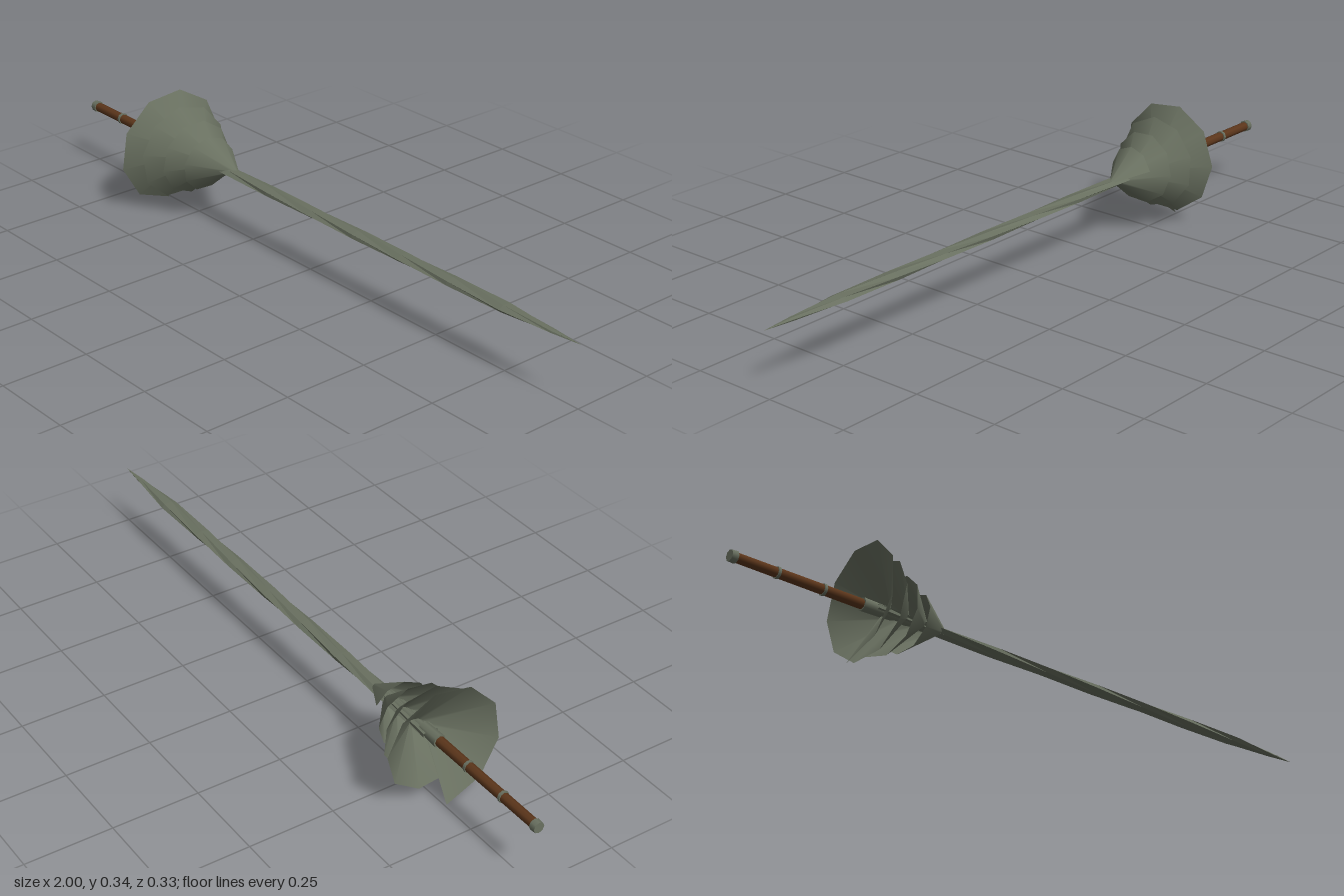
import * as THREE from 'three';

const AXIS_Y = 0.183, AXIS_Z = 0.006;

function surface(positions, indices) {
  const g = new THREE.BufferGeometry();
  g.setAttribute('position', new THREE.Float32BufferAttribute(positions, 3));
  g.setIndex(indices);
  g.computeVertexNormals();
  return g;
}

// Blade: flattened rings whose corners wind slowly around the section
function bladeGeometry() {
  const sides = 6, pos = [], idx = [];
  const stations = [
    [-0.56, 1], [-0.34, 1], [-0.16, 1], [0.02, 1], [0.2, 1], [0.38, 1],
    [0.56, 1], [0.75, 1], [0.91, 0.42], [1.0, 0.02],
  ];
  stations.forEach(([x, s], i) => {
    for (let k = 0; k < sides; k++) {
      const a = (k / sides) * Math.PI * 2 + i * 0.5;
      pos.push(x, 0.0105 * s * Math.cos(a), 0.025 * s * Math.sin(a));
    }
    if (i === 0) return;
    for (let k = 0; k < sides; k++) {
      const a = (i - 1) * sides + k, b = (i - 1) * sides + (k + 1) % sides;
      idx.push(a, b, b + sides, a, b + sides, a + sides);
    }
  });
  return surface(pos, idx).toNonIndexed();
}

// Guard: a conical ribbon wound into overlapping, widening flares
function guardGeometry() {
  const steps = 35, step = THREE.MathUtils.degToRad(38), pos = [], idx = [];
  for (let i = 0; i <= steps; i++) {
    const a = -(steps - i) * step;
    const back = -a / (Math.PI * 2);
    const rim = 0.18 - 0.029 * back, x = -0.64 + 0.06 * back;
    for (const [r, px] of [[0.01, x + 0.105], [rim, x]]) {
      pos.push(px, -r * Math.cos(a), -r * Math.sin(a));
    }
    if (i < steps) {
      const p = i * 2;
      idx.push(p, p + 1, p + 3, p, p + 3, p + 2);
    }
  }
  return surface(pos, idx);
}

export function createModel() {
  const steel = new THREE.MeshStandardMaterial({ color: 0x697060 });
  steel.name = 'greenish steel';
  const guardSteel = steel;
  guardSteel.side = THREE.DoubleSide;
  const wood = new THREE.MeshStandardMaterial({ color: 0x5c361b });
  wood.name = 'brown grip';

  const group = new THREE.Group();
  group.name = 'sword';
  const add = (name, geometry, material) => {
    const mesh = new THREE.Mesh(geometry, material);
    mesh.name = name;
    mesh.position.set(0, AXIS_Y, AXIS_Z);
    group.add(mesh);
  };
  // Round part lying along x from x0 to x1
  const rod = (name, x0, x1, r0, r1, material) => {
    const g = new THREE.CylinderGeometry(r1, r0, x1 - x0, 8);
    g.rotateZ(-Math.PI / 2);
    g.translate((x0 + x1) / 2, 0, 0);
    add(name, g, material);
  };

  const blade = bladeGeometry();
  blade.computeVertexNormals();
  add('blade', blade, steel);
  add('spiralGuard', guardGeometry(), guardSteel);

  // Grip with metal fittings
  rod('grip', -0.99, -0.59, 0.0135, 0.0145, wood);
  rod('pommel', -1.0, -0.982, 0.016, 0.017, steel);
  for (const x of [-0.86, -0.72]) rod('gripRing', x - 0.004, x + 0.004, 0.0165, 0.0165, steel);
  rod('collar', -0.6, -0.53, 0.019, 0.017, steel);
  rod('tang', -0.54, -0.36, 0.012, 0.01, steel);
  return group;
}
